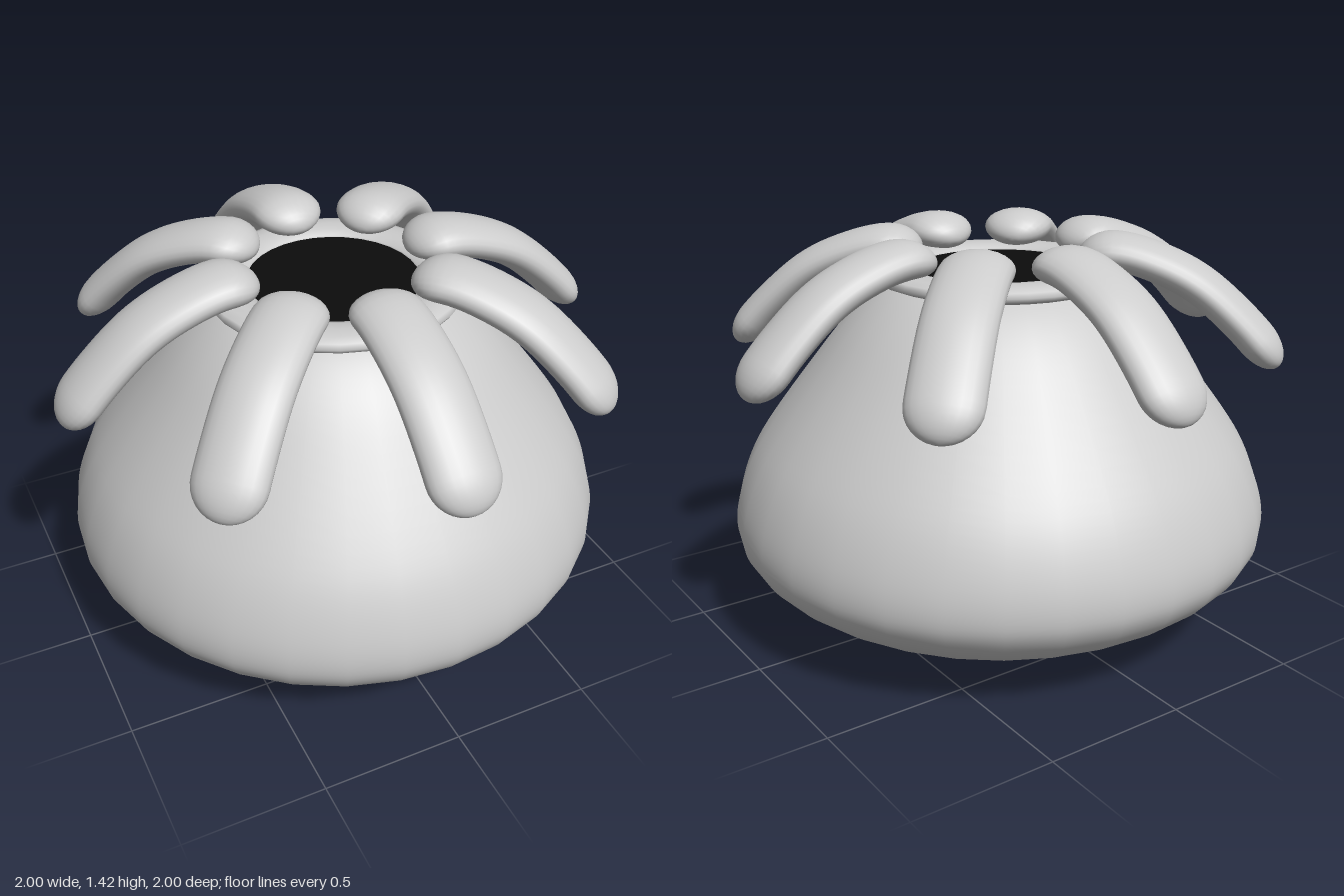
import * as THREE from 'three';
import { mergeVertices } from 'three/addons/utils/BufferGeometryUtils.js';

const grey = new THREE.MeshStandardMaterial({ color: 0xcccccc });
const black = new THREE.MeshStandardMaterial({ color: 0x0c0c0c });

const spline2 = (points) => new THREE.SplineCurve(points.map(([x, y]) => new THREE.Vector2(x, y)));

function addMesh(parent, name, geometry, material = grey) {
  const mesh = new THREE.Mesh(geometry, material);
  mesh.name = name;
  parent.add(mesh);
  return mesh;
}

// A flattened capsule bent along an arch that runs outward along +x
function tentacleGeometry() {
  const halfWidth = 0.125, flatten = 0.54;
  const arch = spline2([[0.28, 1.325], [0.4, 1.35], [0.55, 1.315], [0.7, 1.242], [0.85, 1.115], [0.985, 0.968]]);
  const length = arch.getLength();
  const capsule = new THREE.CapsuleGeometry(halfWidth, length - 2 * halfWidth, 8, 24, 20);
  capsule.deleteAttribute('normal');
  capsule.deleteAttribute('uv');
  const geometry = mergeVertices(capsule);
  const pos = geometry.attributes.position;
  for (let i = 0; i < pos.count; i++) {
    const t = THREE.MathUtils.clamp(pos.getY(i) / length + 0.5, 0, 1);
    const point = arch.getPointAt(t);
    const tangent = arch.getTangentAt(t);
    const lift = pos.getZ(i) * flatten;
    pos.setXYZ(i, point.x - tangent.y * lift, point.y + tangent.x * lift, pos.getX(i));
  }
  geometry.computeVertexNormals();
  return geometry;
}

export function createModel() {
  const model = new THREE.Group();
  model.name = 'tentacledPod';

  // Rounded, bottom-heavy body
  const profile = spline2([
    [0, 0], [0.2, 0.008], [0.4, 0.033], [0.6, 0.08], [0.76, 0.145], [0.88, 0.225],
    [0.945, 0.305], [0.965, 0.385], [0.95, 0.49], [0.9, 0.62], [0.82, 0.75],
    [0.67, 0.95], [0.55, 1.1], [0.45, 1.195], [0.36, 1.25], [0.29, 1.27],
  ]).getPoints(60);
  profile[0].x = 0;
  addMesh(model, 'body', new THREE.LatheGeometry(profile, 32));

  // Flattened lip around the opening
  const lip = new THREE.TorusGeometry(0.37, 0.08, 12, 32);
  lip.rotateX(-Math.PI / 2);
  lip.scale(1, 0.4, 1);
  addMesh(model, 'lip', lip).position.y = 1.268;

  // Dark mouth inside the lip
  const mouth = new THREE.CircleGeometry(0.32, 32);
  mouth.rotateX(-Math.PI / 2);
  addMesh(model, 'mouth', mouth, black).position.y = 1.279;

  // Eight tentacles spread evenly around the mouth
  const tentacles = new THREE.Group();
  tentacles.name = 'tentacles';
  const geometry = tentacleGeometry();
  for (let i = 0; i < 8; i++) {
    addMesh(tentacles, 'tentacle', geometry).rotation.y = (i * Math.PI) / 4;
  }
  model.add(tentacles);

  return model;
}
